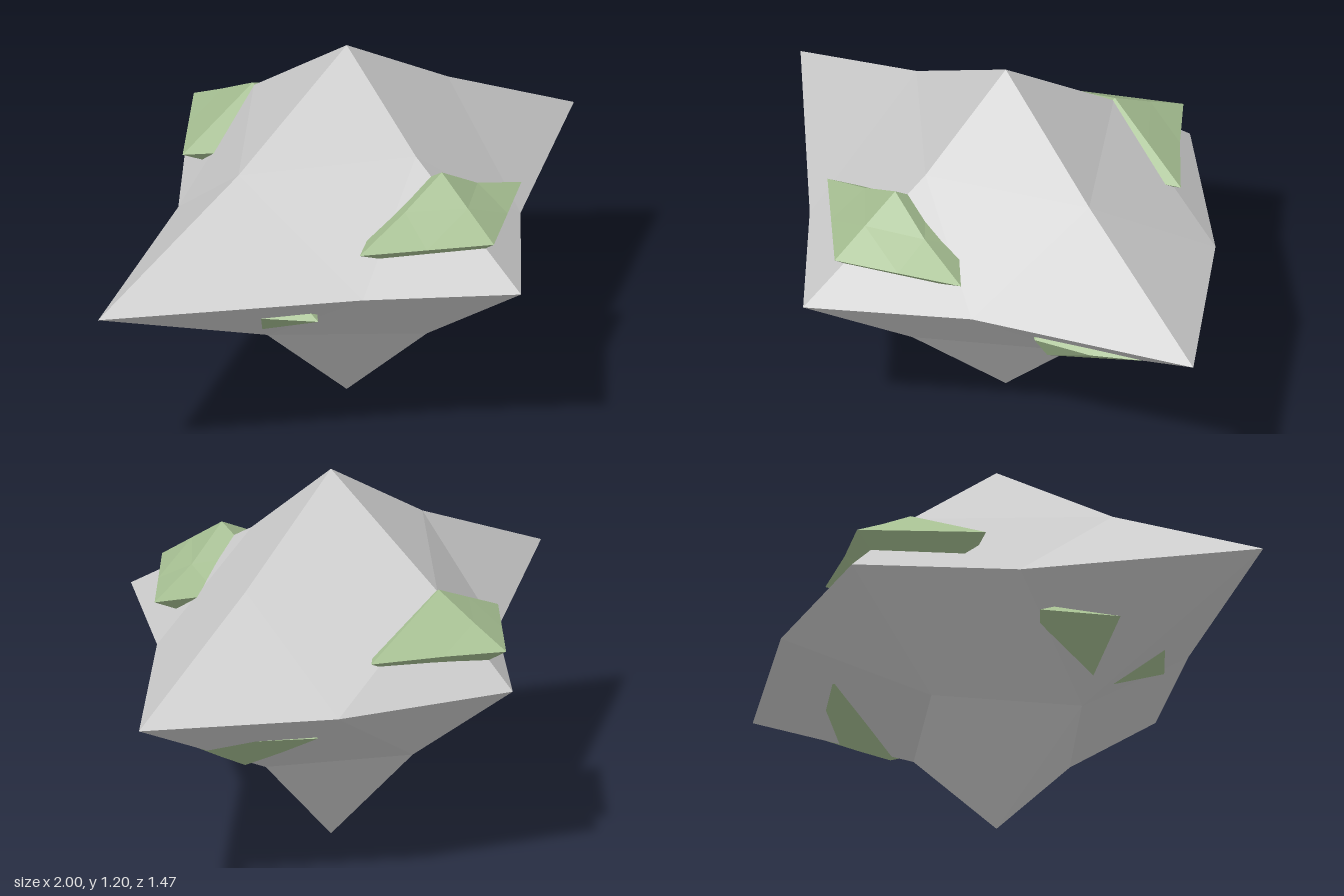
import * as THREE from 'three';

// Faceted gem: an octahedron split once, each corner placed by its axis signs.
// lo / hi: tip distances on the negative / positive axes.
// mids: offsets of edge middles, keyed by signs; others sit halfway along the edge.
function gem(name, color, centre, lo, hi, mids) {
  const geo = new THREE.OctahedronGeometry(1, 1);
  const p = geo.attributes.position;
  const sign = (v) => (Math.abs(v) < 1e-3 ? 0 : Math.sign(v));
  for (let i = 0; i < p.count; i++) {
    const s = [sign(p.getX(i)), sign(p.getY(i)), sign(p.getZ(i))];
    const key = s.map((v) => (v > 0 ? '+' : v < 0 ? '-' : '0')).join('');
    const share = s.filter((v) => v !== 0).length === 1 ? 1 : 0.5;
    const q = mids[key] || s.map((v, k) => share * (v > 0 ? hi[k] : v < 0 ? -lo[k] : 0));
    p.setXYZ(i, q[0], q[1], q[2]);
  }
  const flat = geo.index ? geo.toNonIndexed() : geo;
  flat.computeVertexNormals();
  const mesh = new THREE.Mesh(flat, new THREE.MeshStandardMaterial({ color, flatShading: true }));
  mesh.name = name;
  mesh.position.set(...centre);
  return mesh;
}

export function createModel() {
  const group = new THREE.Group();
  group.name = 'floatingRock';
  const green = 0xa6bf92;

  // Main rock body
  group.add(gem('rock', 0xcccccc, [0.045, 0.635, -0.035], [1.045, 0.635, 0.70], [0.955, 0.56, 0.77], {
    '-+0': [-0.455, 0.28, 0], '++0': [0.425, 0.29, 0],
    '+-0': [0.325, -0.315, 0], '--0': [-0.335, -0.32, 0],
    '0++': [0, 0.295, 0.305], '0+-': [0, 0.258, -0.41],
    '0-+': [0, -0.30, 0.355], '0--': [0, -0.30, -0.315],
    '-0-': [-0.375, 0, -0.35], '+0-': [0.505, 0, -0.42],
    '-0+': [-0.375, 0, 0.465], '+0+': [0.355, 0, 0.395],
  }));

  // Moss shards on the upper slopes
  group.add(gem('frontMoss', green, [0.045, 0.76, 0.385], [0.345, 0.17, 0.23], [0.335, 0.16, 0.23], {
    '++0': [0.15, 0.067, 0], '-+0': [-0.155, 0.08, 0],
  }));
  group.add(gem('backMoss', green, [0.045, 0.76, -0.45], [0.295, 0.17, 0.26], [0.335, 0.14, 0.23], {
    '0+-': [0, 0.065, -0.135], '+0-': [0.15, 0, -0.135],
  }));

  // Moss shards on the lower slopes
  group.add(gem('leftMoss', green, [0.465, 0.51, -0.03], [0.28, 0.155, 0.28], [0.28, 0.155, 0.2], {
    '0-+': [0, -0.08, 0.15], '0--': [0, -0.08, -0.14],
    '+0+': [0.165, 0, 0.11], '+-0': [0.12, -0.09, 0],
  }));
  group.add(gem('rightMoss', green, [-0.365, 0.51, -0.03], [0.25, 0.15, 0.3], [0.25, 0.15, 0.3], {}));

  return group;
}
